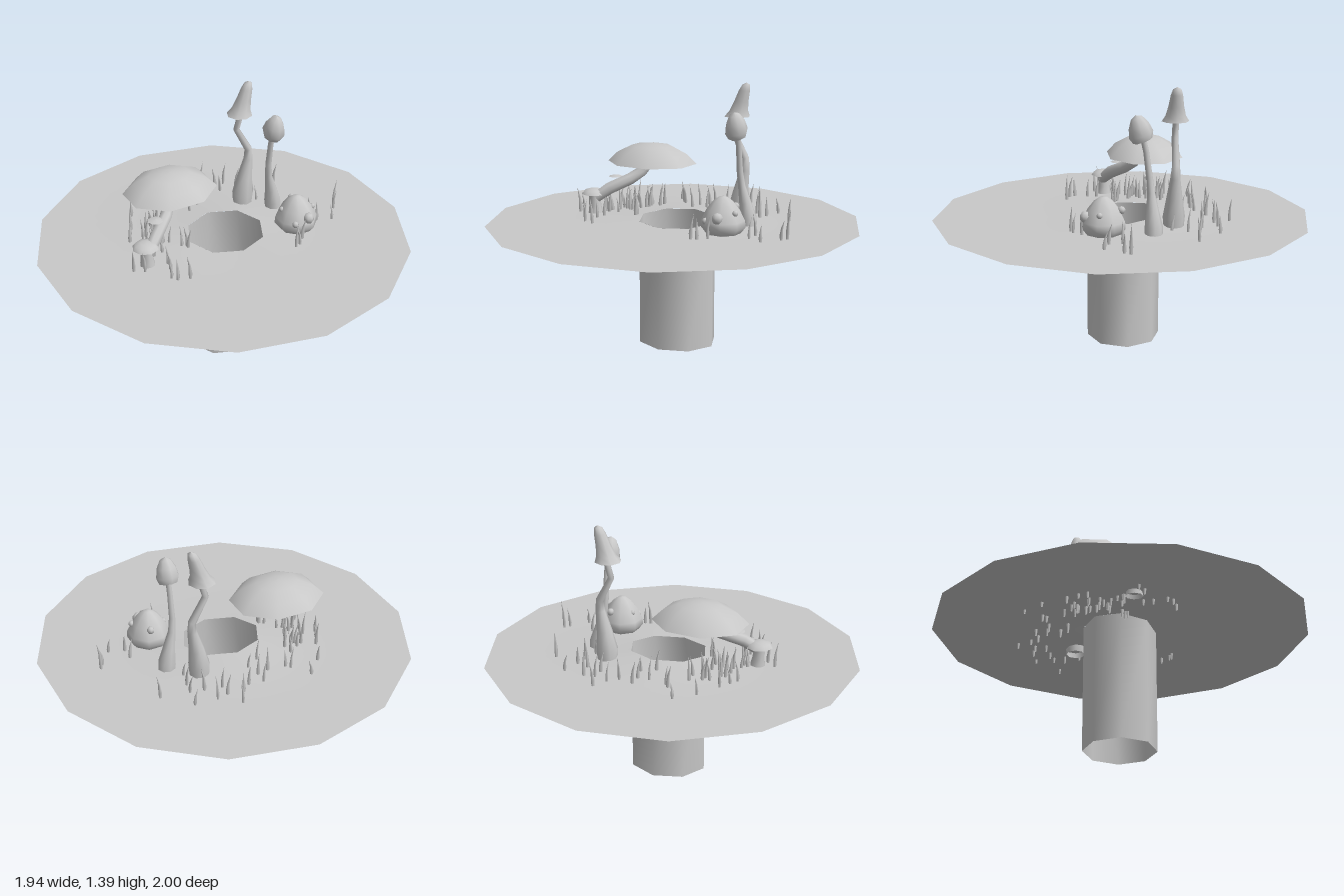
import * as THREE from 'three';

const grey = new THREE.MeshStandardMaterial({ color: 0xc8c8c8, side: THREE.DoubleSide });
grey.name = 'plain grey';

const V = (x, y, z) => new THREE.Vector3(x, y, z);

// Closed skin through rows of points; rows run upwards or inwards
function skin(rows) {
  const n = rows[0].length, index = [];
  for (let i = 0; i < rows.length - 1; i++)
    for (let j = 0; j < n; j++) {
      const a = i * n + j, b = i * n + (j + 1) % n;
      index.push(a, b, b + n, a, b + n, a + n);
    }
  const g = new THREE.BufferGeometry().setFromPoints(rows.flat());
  g.setIndex(index);
  g.computeVertexNormals();
  return g;
}

// Ring of points turned to face a direction
function ring(c, r, dir, n) {
  const q = new THREE.Quaternion().setFromUnitVectors(V(0, 1, 0), dir);
  return Array.from({ length: n }, (_, j) => {
    const a = j / n * Math.PI * 2;
    return V(Math.sin(a) * r, 0, Math.cos(a) * r).applyQuaternion(q).add(c);
  });
}

// Stem through [x, y, z, radius] stations
function stem(stations, n = 8) {
  const p = stations.map(s => V(s[0], s[1], s[2]));
  return skin(p.map((c, i) => {
    const d = p[Math.min(i + 1, p.length - 1)].clone().sub(p[Math.max(i - 1, 0)]).normalize();
    return ring(c, stations[i][3], d, n);
  }));
}

function mesh(parent, name, geometry) {
  const m = new THREE.Mesh(geometry, grey);
  m.name = name;
  parent.add(m);
  return m;
}

// Lathed cap: outer profile from rim to tip, gills rising to the middle, optional lean
function cap(parent, name, profile, pos, { n = 8, sx = 1, sz = 1, leanX = 0, leanZ = 0, dropZ = 0, hollow = 0.02, turn = 0 } = {}) {
  const group = new THREE.Group();
  group.name = name;
  const pts = profile.map(p => new THREE.Vector2(...p));
  const gills = [new THREE.Vector2(0, pts[0].y + hollow), pts[0]];
  const lean = new THREE.Matrix4().set(sx, leanX, 0, 0, 0, 1, dropZ, 0, 0, leanZ, sz, 0, 0, 0, 0, 1);
  mesh(group, name + 'Top', new THREE.LatheGeometry(pts, n, turn).applyMatrix4(lean));
  mesh(group, name + 'Gills', new THREE.LatheGeometry(gills, n, turn).applyMatrix4(lean));
  group.position.set(...pos);
  parent.add(group);
}

// Distance to the edge of a regular polygon at angle a
const polygon = (a, n, r) => {
  const h = Math.PI / n;
  return r * Math.cos(h) / Math.cos((a % (2 * h)) - h);
};

export function createModel() {
  const model = new THREE.Group();
  model.name = 'mushroomPlate';

  // Ground plate with a raised lip around the hole
  const N = 56, angles = Array.from({ length: N }, (_, j) => j / N * Math.PI * 2);
  const lip = a => 0.665 + 0.0125 * (1 - Math.cos(a));
  const hole = (a, y) => {
    const r = polygon(a, 8, 1);
    return V(0.02 + Math.sin(a) * r * 0.215, y, -0.005 + Math.cos(a) * r * 0.193);
  };
  const round = (r, y) => angles.map(a => V(Math.sin(a) * r, y(a), Math.cos(a) * r));
  mesh(model, 'ground', skin([
    angles.map(a => { const r = polygon(a, 14, 1); return V(Math.sin(a) * r * 0.995, 0.66, Math.cos(a) * r); }),
    round(0.57, () => 0.66),
    round(0.36, a => 0.66 + (lip(a) - 0.66) * 0.45),
    angles.map(a => hole(a, lip(a))),
  ]));

  // Open shaft under the hole
  const corners = Array.from({ length: 8 }, (_, j) => j / 8 * Math.PI * 2);
  mesh(model, 'shaft', skin([corners.map(a => hole(a, 0)), corners.map(a => hole(a, lip(a)))]));

  // Wide leaning mushroom, with a little one at its foot
  const wide = new THREE.Group();
  wide.name = 'wideMushroom';
  model.add(wide);
  mesh(wide, 'wideStem', stem([[-0.46, 0.75, 0.06, 0.03], [-0.4, 0.8, 0.02, 0.034], [-0.31, 0.85, -0.05, 0.033],
    [-0.265, 0.89, -0.1, 0.03], [-0.24, 0.95, -0.13, 0.036]]));
  cap(wide, 'wideCap', [[1, 0], [0.78, 0.052], [0.45, 0.093], [0.15, 0.104], [0, 0.105]], [-0.232, 0.935, -0.15],
    { sx: 0.255, sz: 0.212, turn: Math.PI / 8, hollow: 0.03 });
  cap(wide, 'stemShelf', [[0.04, 0], [0.02, 0.006], [0, 0.008]], [-0.385, 0.862, -0.02], { hollow: 0.002 });
  mesh(wide, 'littleStem', stem([[-0.47, 0.64, 0.05, 0.045], [-0.475, 0.7, 0.05, 0.034], [-0.48, 0.775, 0.05, 0.03]]));
  cap(wide, 'littleCap', [[0.07, 0], [0.055, 0.02], [0.025, 0.029], [0, 0.03]], [-0.48, 0.767, 0.05], { hollow: 0.008 });

  // Tall crooked mushroom with a bell cap
  const tall = new THREE.Group();
  tall.name = 'tallMushroom';
  model.add(tall);
  mesh(tall, 'tallStem', stem([[0.26, 0.64, -0.24, 0.05], [0.262, 0.72, -0.24, 0.058], [0.275, 0.82, -0.24, 0.042],
    [0.297, 0.93, -0.24, 0.026], [0.298, 0.99, -0.243, 0.021], [0.225, 1.125, -0.247, 0.017], [0.262, 1.25, -0.247, 0.017]]));
  cap(tall, 'bellCap', [[0.07, 0], [0.052, 0.03], [0.04, 0.08], [0.031, 0.14], [0.021, 0.17], [0, 0.182]],
    [0.243, 1.213, -0.245], { leanX: 0.3, hollow: 0.035 });

  // Slender mushroom with an egg-shaped cap
  const slender = new THREE.Group();
  slender.name = 'slenderMushroom';
  model.add(slender);
  mesh(slender, 'slenderStem', stem([[0.39, 0.64, -0.12, 0.045], [0.385, 0.7, -0.12, 0.047], [0.37, 0.78, -0.115, 0.033],
    [0.35, 0.87, -0.11, 0.02], [0.342, 0.95, -0.102, 0.017], [0.343, 1.08, -0.085, 0.015], [0.343, 1.17, -0.065, 0.015]]));
  cap(slender, 'eggCap', [[0.048, 0], [0.06, 0.03], [0.05, 0.075], [0.028, 0.115], [0, 0.128]],
    [0.342, 1.138, -0.068], { leanZ: 0.28, dropZ: -0.35, hollow: 0.035 });

  // Squat warty mushroom
  const squat = new THREE.Group();
  squat.name = 'squatMushroom';
  model.add(squat);
  mesh(squat, 'squatStem', stem([[0.375, 0.64, 0.13, 0.05], [0.375, 0.7, 0.13, 0.045]]));
  cap(squat, 'squatCap', [[0.092, 0], [0.115, 0.03], [0.112, 0.065], [0.085, 0.12], [0.05, 0.165], [0.02, 0.186], [0, 0.188]],
    [0.376, 0.677, 0.132], { turn: Math.PI / 8, hollow: 0.015 });
  for (const [x, y, z, r] of [[0.395, 0.768, 0.225, 0.03], [0.32, 0.745, 0.215, 0.018], [0.46, 0.79, 0.16, 0.016],
    [0.3, 0.79, 0.11, 0.016], [0.4, 0.8, 0.045, 0.02]])
    mesh(squat, 'wart', new THREE.SphereGeometry(r, 7, 5)).position.set(x, y, z);

  // Grass blades: tapering four-sided spikes with a bent tip
  const blade = stem([[0, -0.03, 0, 0.006], [0, 0.03, 0, 0.011], [0.004, 0.075, 0, 0.007], [0.018, 0.13, 0, 0.0005]], 4);
  const grass = new THREE.Group();
  grass.name = 'grass';
  model.add(grass);
  let seed = 7;
  const rand = () => (seed = seed * 16807 % 2147483647) / 2147483647;
  const plant = (x, z, h = 0.65 + rand() * 0.45, turn = rand() * 6.28) => {
    const b = mesh(grass, 'grassBlade', blade);
    b.position.set(x, 0.66, z);
    b.rotation.y = turn;
    b.scale.set(0.9, h, 0.9);
  };
  const spots = [-0.25, -0.5, -0.34, -0.41, -0.18, -0.41, -0.16, -0.39, 0, -0.45, 0, -0.39, 0.08, -0.44, 0.13, -0.48,
    0.17, -0.55, 0.21, -0.46, 0.27, -0.47, 0.39, -0.46, -0.06, -0.38, 0.21, -0.4, 0.3, -0.38, 0.37, -0.36, 0.36, -0.3,
    0.34, -0.22, 0.02, -0.32, -0.05, -0.28, 0.52, -0.33, 0.6, 0.15, 0.52, 0.05, 0.52, 0.12, 0.28, 0.29, 0.31, 0.28,
    0.35, 0.24, -0.46, -0.18, -0.38, 0.1, -0.39, 0.15, -0.42, 0.22, -0.4, 0.25, -0.34, 0.27, -0.56, 0.07, -0.51, 0.1];
  for (let i = 0; i < spots.length; i += 2) plant(spots[i], spots[i + 1]);
  plant(0.69, 0.03, 1.2, 0);
  plant(0.67, 0.06, 0.8, 0);
  // Thicket in the shade of the wide cap
  for (let i = 0; i < 30; i++) plant(-0.44 + rand() * 0.22, -0.31 + rand() * 0.34);

  return model;
}
